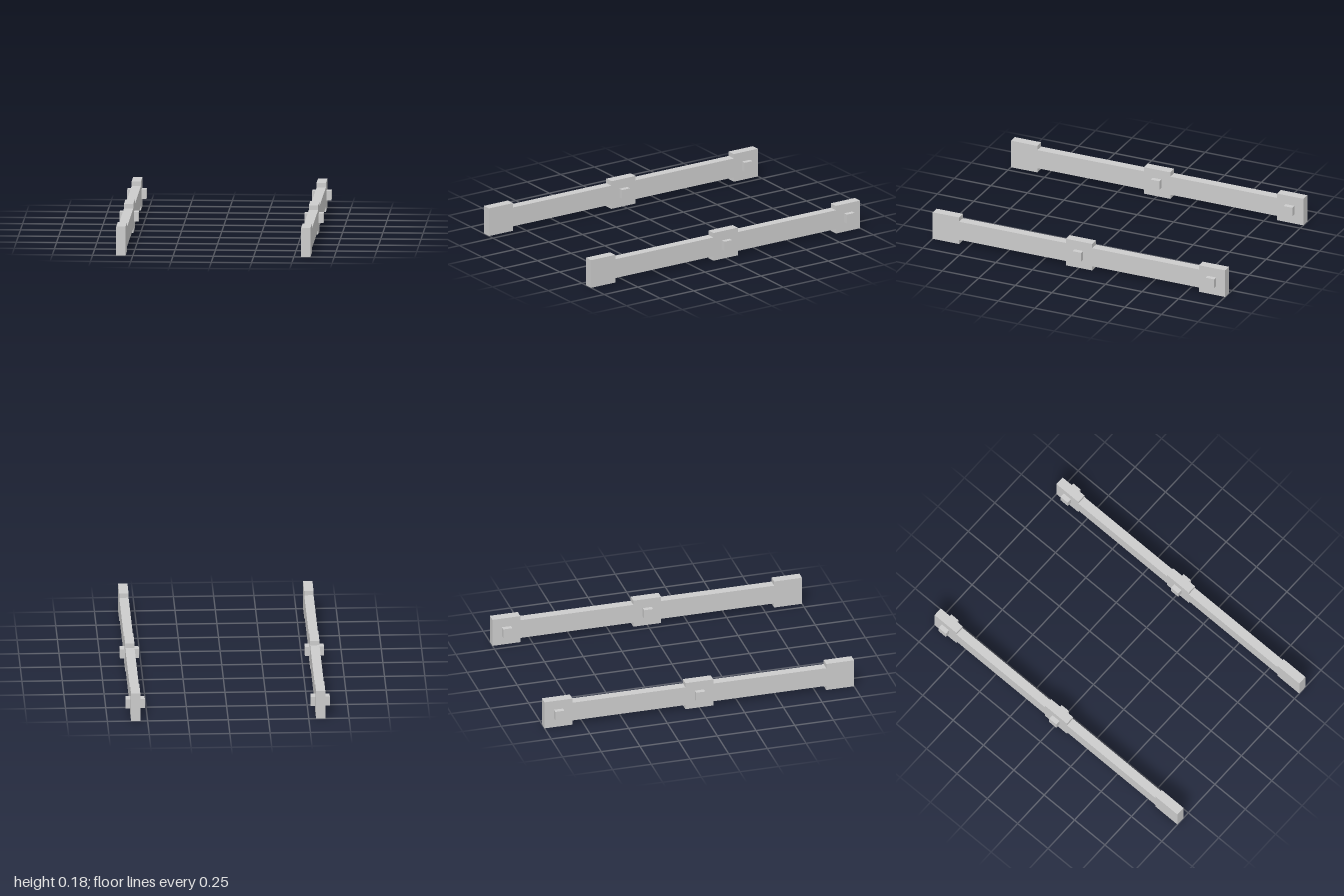
import * as THREE from 'three';

const RAIL_X = 0.574, RAIL_WIDTH = 0.058;
const HEIGHT = 0.182, STEP = 0.029; // full block height, and how far the bar is set in
const PEG_LENGTH = 0.119, PEG_SIZE = 0.059, PEG_Y = 0.092;

// Side outline of a rail: a slim bar with taller blocks at both ends and the middle
function railGeometry() {
  const upper = [
    [-1, HEIGHT], [-0.82, HEIGHT], [-0.82, HEIGHT - STEP], [-0.09, HEIGHT - STEP], [-0.09, HEIGHT],
    [0.09, HEIGHT], [0.09, HEIGHT - STEP], [0.82, HEIGHT - STEP], [0.82, HEIGHT], [1, HEIGHT],
  ];
  const lower = upper.map(([z, y]) => [z, HEIGHT - y]).reverse();
  const shape = new THREE.Shape([...upper, ...lower].map(([z, y]) => new THREE.Vector2(z, y)));
  const geometry = new THREE.ExtrudeGeometry(shape, { depth: RAIL_WIDTH, bevelEnabled: false });
  return geometry.translate(0, 0, -RAIL_WIDTH / 2).rotateY(Math.PI / 2);
}

export function createModel() {
  const model = new THREE.Group();
  model.name = 'railPair';
  const material = new THREE.MeshStandardMaterial({ color: 0xcccccc, flatShading: true });
  const rail = railGeometry();
  const peg = new THREE.BoxGeometry(PEG_LENGTH, PEG_SIZE, PEG_SIZE);

  for (const [side, sign] of [['left', 1], ['right', -1]]) {
    const group = new THREE.Group();
    group.name = side + 'RailAssembly';
    group.position.x = sign * RAIL_X;

    const bar = new THREE.Mesh(rail, material);
    bar.name = side + 'Rail';
    group.add(bar);

    // Square pegs passing through the middle and back blocks
    for (const [place, z] of [['Middle', 0], ['Back', -0.91]]) {
      const pin = new THREE.Mesh(peg, material);
      pin.name = side + place + 'Peg';
      pin.position.set(0, PEG_Y, z);
      group.add(pin);
    }
    model.add(group);
  }
  return model;
}
